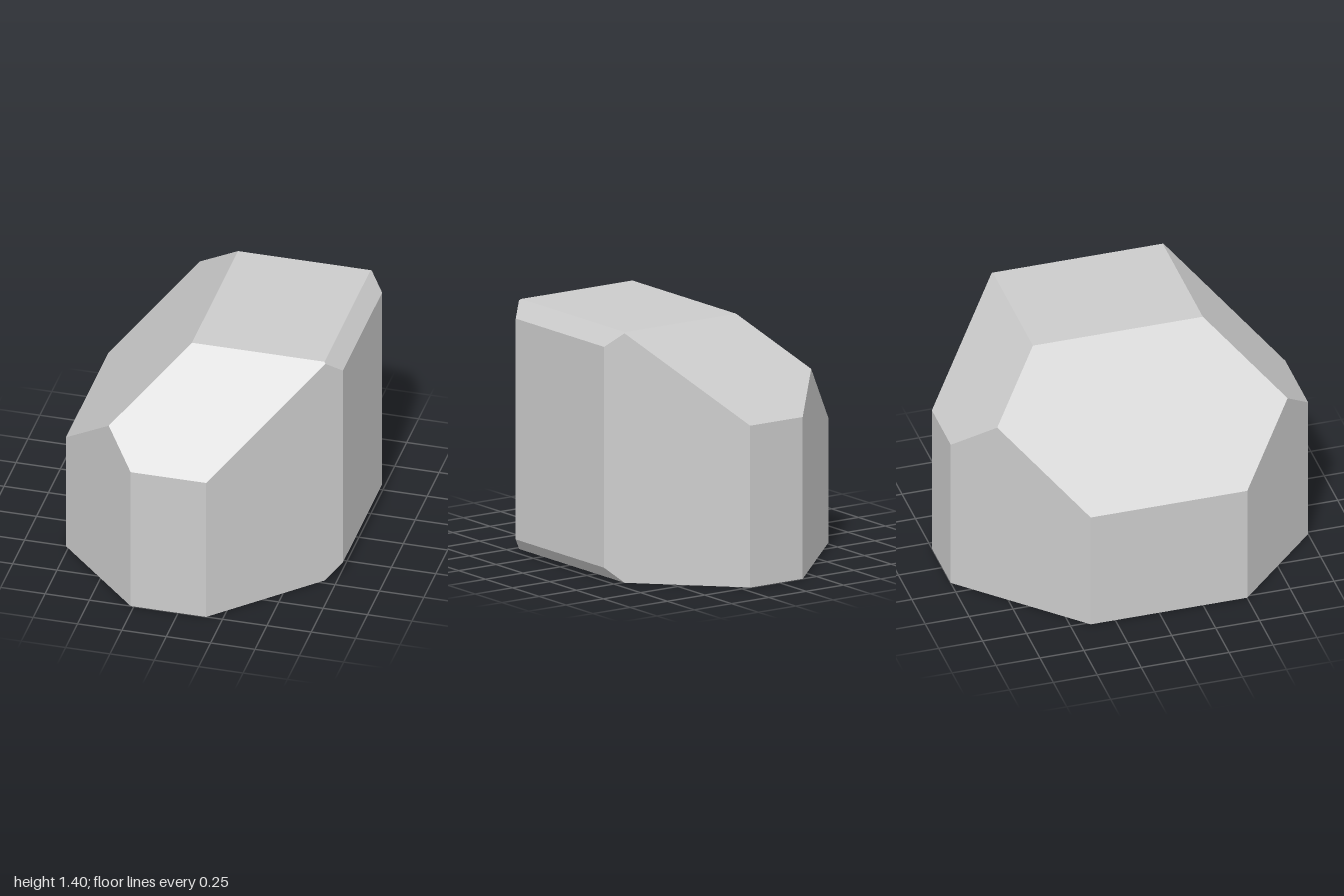
import * as THREE from 'three';
import { ConvexGeometry } from 'three/addons/geometries/ConvexGeometry.js';

// Each cut keeps the points where nx*x + ny*y + nz*z <= d.
const cuts = [
  [1, 0, 0, 0.765], [-1, 0, 0, 0.767], // right and left walls
  [0, 1, 0, 1.4], [0, -1, 0, 0], // top and base
  [0, 0, 1, 1], [0, 0, -1, 1], // front and back walls
  [1, 0, 1, 1.158], [1, 0, -1, 1.195], // upright corner bevels
  [-1, 0, 1, 1.268], [-1, 0, -1, 1.157],
  [0, 1, 1, 1.862], [0, 1, -1, 1.905], // front and back roof slopes
  [-1, 1, 0, 1.467], // wide side slope
  [1, 1, 0, 2.08], [1, -1, 0, 0.685], // narrow side chamfers
];

// Corners of the solid: points where three cuts meet inside all the others
function cornersOf(cuts) {
  const corners = [];
  for (let i = 0; i < cuts.length; i++)
    for (let j = i + 1; j < cuts.length; j++)
      for (let k = j + 1; k < cuts.length; k++) {
        const [a, b, c] = [cuts[i], cuts[j], cuts[k]];
        const m = new THREE.Matrix3().set(
          a[0], a[1], a[2], b[0], b[1], b[2], c[0], c[1], c[2]);
        if (Math.abs(m.determinant()) < 1e-6) continue;
        const p = new THREE.Vector3(a[3], b[3], c[3]).applyMatrix3(m.invert());
        const inside = cuts.every(([x, y, z, d]) => x * p.x + y * p.y + z * p.z <= d + 1e-6);
        if (inside && !corners.some((q) => q.distanceTo(p) < 1e-4)) corners.push(p);
      }
  return corners;
}

export function createModel() {
  const group = new THREE.Group();
  group.name = 'facetedBlock';

  // One solid block with flat bevelled faces
  const block = new THREE.Mesh(
    new ConvexGeometry(cornersOf(cuts)),
    new THREE.MeshStandardMaterial({ color: 0xcccccc, flatShading: true }));
  block.name = 'bevelledBlock';
  group.add(block);
  return group;
}
